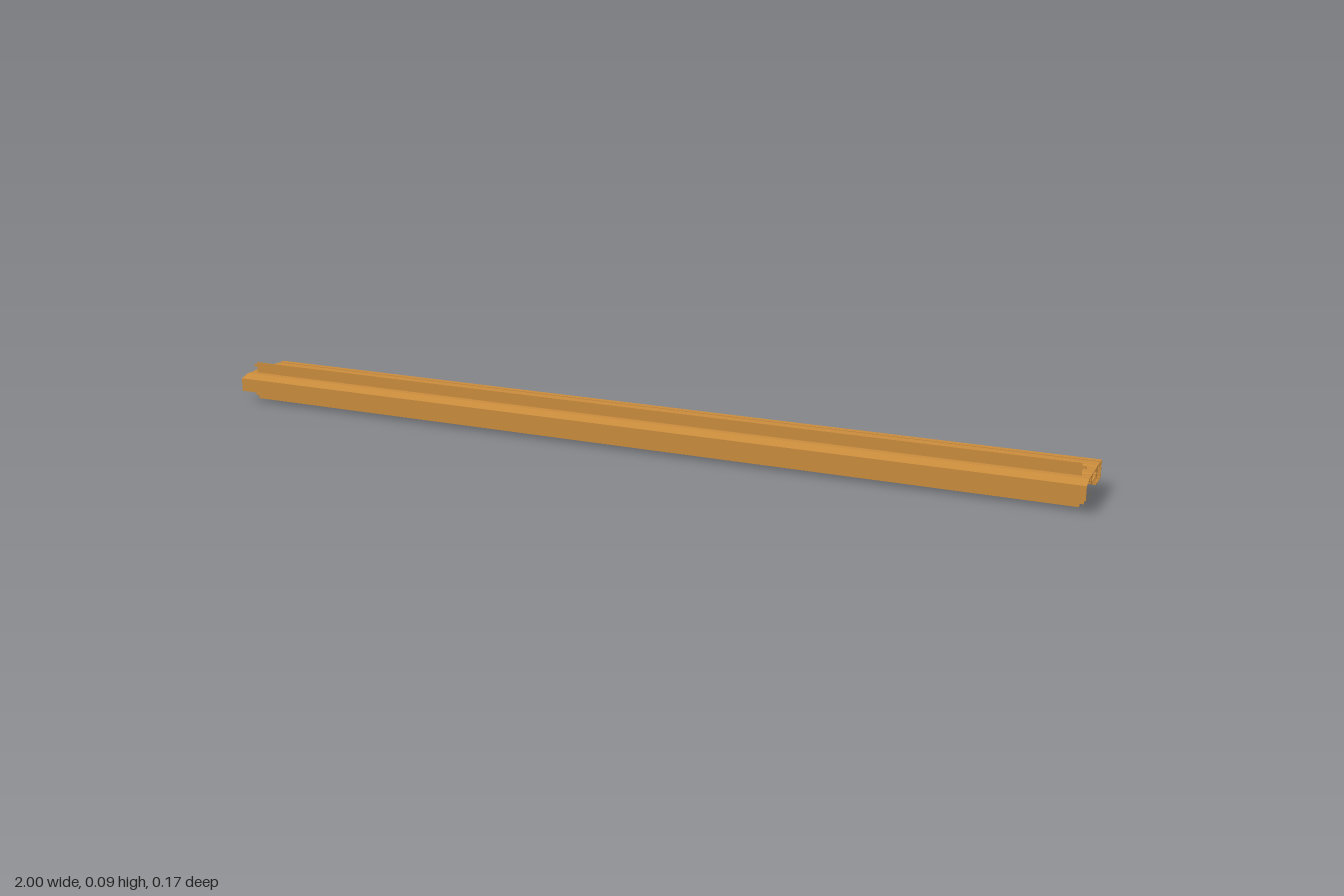
import * as THREE from 'three';

const LENGTH = 2;
const WALL = 0.0016;

// Extrudes a (z, y) outline, with optional holes, along the x axis
function extrudeProfile(name, outline, material, holes = [], length = LENGTH) {
  const flip = ([z, y]) => new THREE.Vector2(-z, y);
  const shape = new THREE.Shape(outline.map(flip));
  for (const h of holes) shape.holes.push(new THREE.Path(h.map(flip)));
  const geo = new THREE.ExtrudeGeometry(shape, { depth: length, bevelEnabled: false });
  geo.translate(0, 0, -length / 2);
  geo.rotateY(Math.PI / 2);
  const mesh = new THREE.Mesh(geo, material);
  mesh.name = name;
  return mesh;
}

const rect = (z0, y0, z1, y1) => [[z0, y0], [z1, y0], [z1, y1], [z0, y1]];

export function createModel() {
  const group = new THREE.Group();
  group.name = 'thresholdProfile';
  const bronze = new THREE.MeshStandardMaterial({ color: 0xc98b3c });
  bronze.name = 'bronze';
  const add = (...args) => group.add(extrudeProfile(...args));

  // Front hollow chamber with a sloping nose
  const t = WALL;
  add('frontChamber',
    [[0.032, 0.026], [0.083, 0.026], [0.083, 0.057], [0.059, 0.0645], [0.032, 0.0645]], bronze,
    [[[0.032 + t, 0.026 + t], [0.083 - t, 0.026 + t], [0.083 - t, 0.057 - t], [0.059, 0.0645 - t], [0.032 + t, 0.0645 - t]]]);

  // Rear chamber: C-shaped walls with a small groove in the top and bottom
  const back = -0.083, inner = -0.031;
  add('rearChamberInnerWall', rect(inner - t, 0.026, inner, 0.0645), bronze);
  add('rearChamberBackWall', rect(back, 0.026, back + t, 0.0645), bronze);
  for (const [name, y, dir] of [['Top', 0.0645, -1], ['Bottom', 0.026, 1]]) {
    const y1 = y + dir * t, deep = y + dir * 0.005;
    add('rearChamber' + name, rect(-0.0645, Math.min(y, y1), inner - t, Math.max(y, y1)), bronze);
    add('rearChamber' + name + 'Lip', rect(back + t, Math.min(y, y1), -0.069, Math.max(y, y1)), bronze);
    add('groove' + name, rect(-0.07, Math.min(deep, deep + dir * t), -0.0635, Math.max(deep, deep + dir * t)), bronze);
    for (const z of [-0.0645, -0.07])
      add('grooveSide' + name, rect(z, Math.min(y, deep), z + 0.001, Math.max(y, deep)), bronze);
  }

  // Screw-channel ribs hanging under both decks
  for (const z of [0.059, 0.053, -0.053, -0.058])
    add('screwRib', rect(z - 0.0008, 0.057, z + 0.0008, 0.064), bronze);

  // Thermal bridge: two strips joined to rounded clamps
  add('bridgeTop', rect(-0.024, 0.0628, 0.024, 0.0645), bronze);
  add('bridgeBottom', rect(-0.024, 0.0465, 0.024, 0.0482), bronze);
  for (const s of [1, -1]) {
    const clamp = [[0.032, 0.046], [0.032, 0.065], [0.028, 0.067], [0.024, 0.065], [0.0225, 0.061],
      [0.025, 0.058], [0.025, 0.053], [0.0225, 0.05], [0.024, 0.046], [0.028, 0.0445]];
    add('bridgeClamp', clamp.map(([z, y]) => [s * z, y]), bronze);
  }

  // Thin upright seals above and below the front chamber, with end tabs
  for (const [name, y0, y1, tab] of [['upperSeal', 0.064, 0.09, 0.08], ['lowerSeal', 0, 0.0265, 0.008]]) {
    add(name, rect(0.0422, y0, 0.0436, y1), bronze, [], 1.965);
    for (const s of [1, -1]) {
      const end = new THREE.Mesh(new THREE.BoxGeometry(0.01, 0.006, 0.0014), bronze);
      end.position.set(s * 0.986, tab + 0.002, 0.0429);
      end.name = name + 'Tab';
      group.add(end);
    }
  }
  return group;
}
